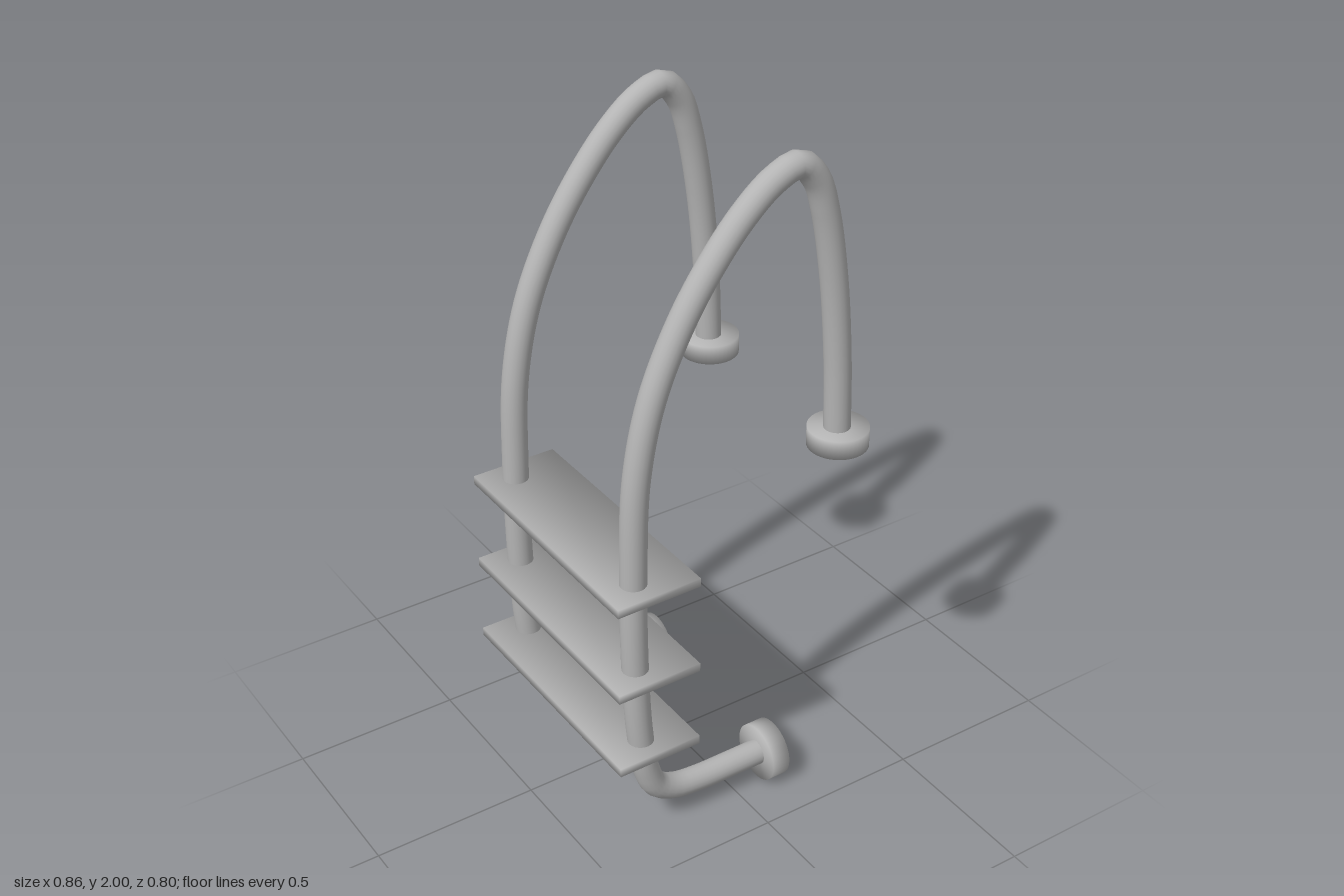
import * as THREE from 'three';

const RAIL_Z = 0.311;

// Soft shading across the edges of a block or disc: normals point out from its centre.
function soften(geometry, hx, hy, hz) {
  const p = geometry.attributes.position;
  const v = new THREE.Vector3();
  for (let i = 0; i < p.count; i++) {
    v.set(p.getX(i) / hx, p.getY(i) / hy, p.getZ(i) / hz).normalize();
    geometry.attributes.normal.setXYZ(i, v.x, v.y, v.z);
  }
  return geometry;
}

export function createModel() {
  const model = new THREE.Group();
  model.name = 'poolLadder';
  const steel = new THREE.MeshStandardMaterial({ color: 0xb4b4b4 });
  steel.name = 'steelGrey';

  function add(parent, name, geometry, x, y, z) {
    const mesh = new THREE.Mesh(geometry, steel);
    mesh.name = name;
    mesh.position.set(x, y, z);
    parent.add(mesh);
    return mesh;
  }

  // Centre line of a rail, from the wall foot up and over to the deck
  const path = new THREE.CatmullRomCurve3([
    [0.11, 0.093], [0, 0.093], [-0.12, 0.095], [-0.205, 0.108], [-0.265, 0.145],
    [-0.295, 0.215], [-0.316, 0.36], [-0.329, 0.6], [-0.331, 0.9],
    [-0.318, 1.2], [-0.27, 1.42], [-0.185, 1.61], [-0.09, 1.755], [0.01, 1.87],
    [0.1, 1.94], [0.175, 1.962], [0.228, 1.91], [0.262, 1.81], [0.3, 1.6],
    [0.325, 1.35], [0.336, 1.1],
  ].map(([x, y]) => new THREE.Vector3(x, y, 0)));
  const railGeometry = new THREE.TubeGeometry(path, 120, 0.038, 20);

  // Mounting discs
  const discGeometry = soften(new THREE.CylinderGeometry(0.087, 0.087, 0.057, 40), 0.087, 0.0285, 0.087);

  for (const side of [1, -1]) {
    const rail = new THREE.Group();
    rail.name = side > 0 ? 'frontRail' : 'backRail';
    rail.position.z = side * RAIL_Z;
    add(rail, 'railTube', railGeometry, 0, 0, 0);
    add(rail, 'deckFlange', discGeometry, 0.339, 1.111, 0);
    add(rail, 'wallFoot', discGeometry, 0.12, 0.09, 0).rotation.z = -Math.PI / 2;
    model.add(rail);
  }

  // Steps, threaded through by both rails
  const stepGeometry = soften(new THREE.BoxGeometry(0.262, 0.027, 0.772), 0.131, 0.0135, 0.386);
  for (const y of [0.317, 0.574, 0.861]) add(model, 'step', stepGeometry, -0.298, y, 0.004);

  return model;
}
